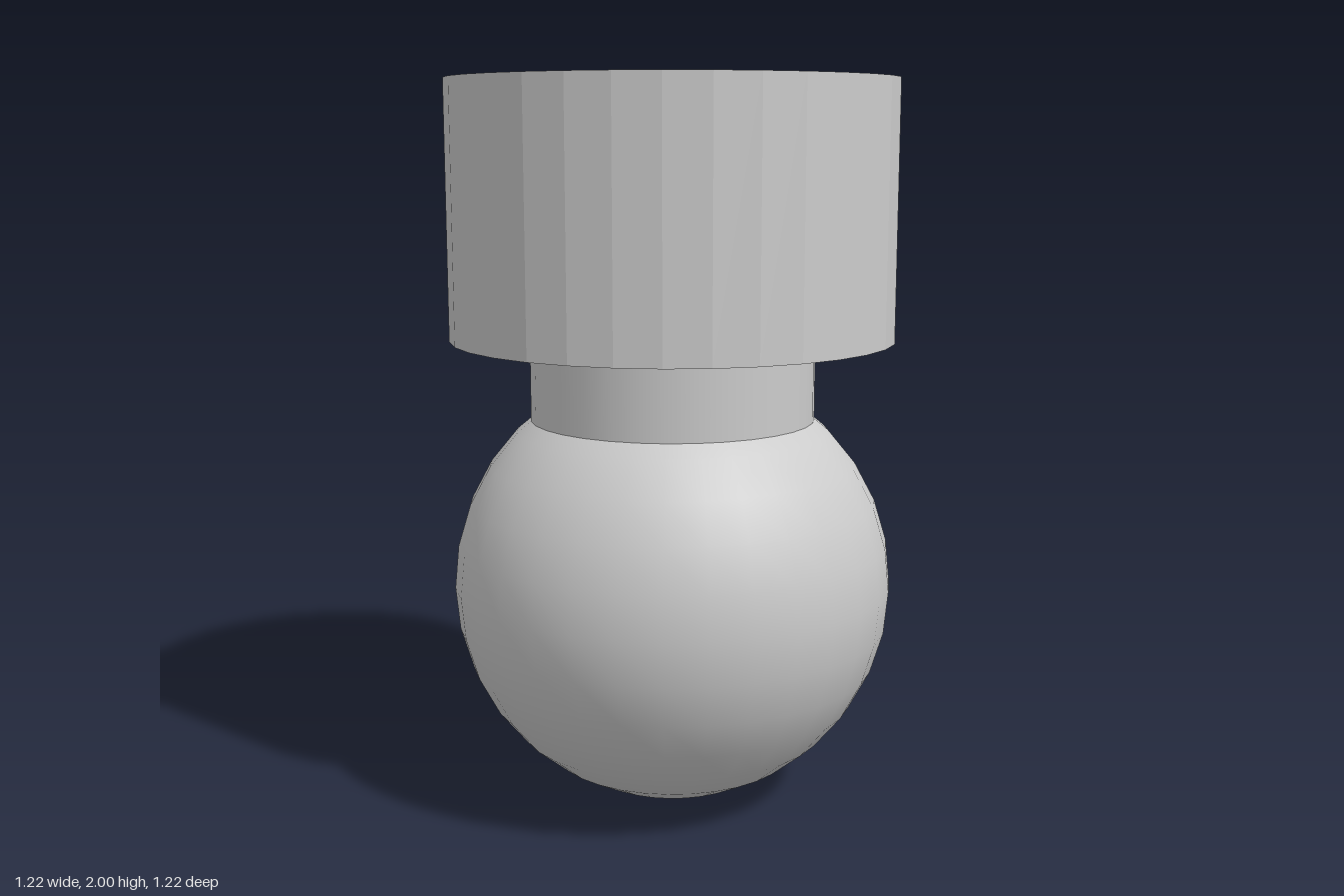
import * as THREE from 'three';

const SIDES = 32;
const RADIUS = 0.612;

function addPart(group, name, geometry, y, flatShading = false) {
  const material = new THREE.MeshStandardMaterial({ color: 0xcccccc, flatShading });
  const mesh = new THREE.Mesh(geometry, material);
  mesh.name = name;
  mesh.position.y = y;
  group.add(mesh);
}

// Upright cylinder between two heights
function addCylinder(group, name, radius, bottom, top, sides, flat) {
  const geometry = new THREE.CylinderGeometry(radius, radius, top - bottom, sides);
  addPart(group, name, geometry, (bottom + top) / 2, flat);
}

export function createModel() {
  const model = new THREE.Group();
  model.name = 'ballEndedKnob';

  // Smooth ball at the base
  addPart(model, 'ball', new THREE.SphereGeometry(RADIUS, SIDES, SIDES / 2), RADIUS);

  // Smooth neck, sunk a little into the ball
  addCylinder(model, 'neck', 0.394, 1.05, 1.3, SIDES, false);

  // Faceted cap as wide as the ball
  addCylinder(model, 'cap', RADIUS, 1.3, 2, SIDES, true);

  return model;
}
